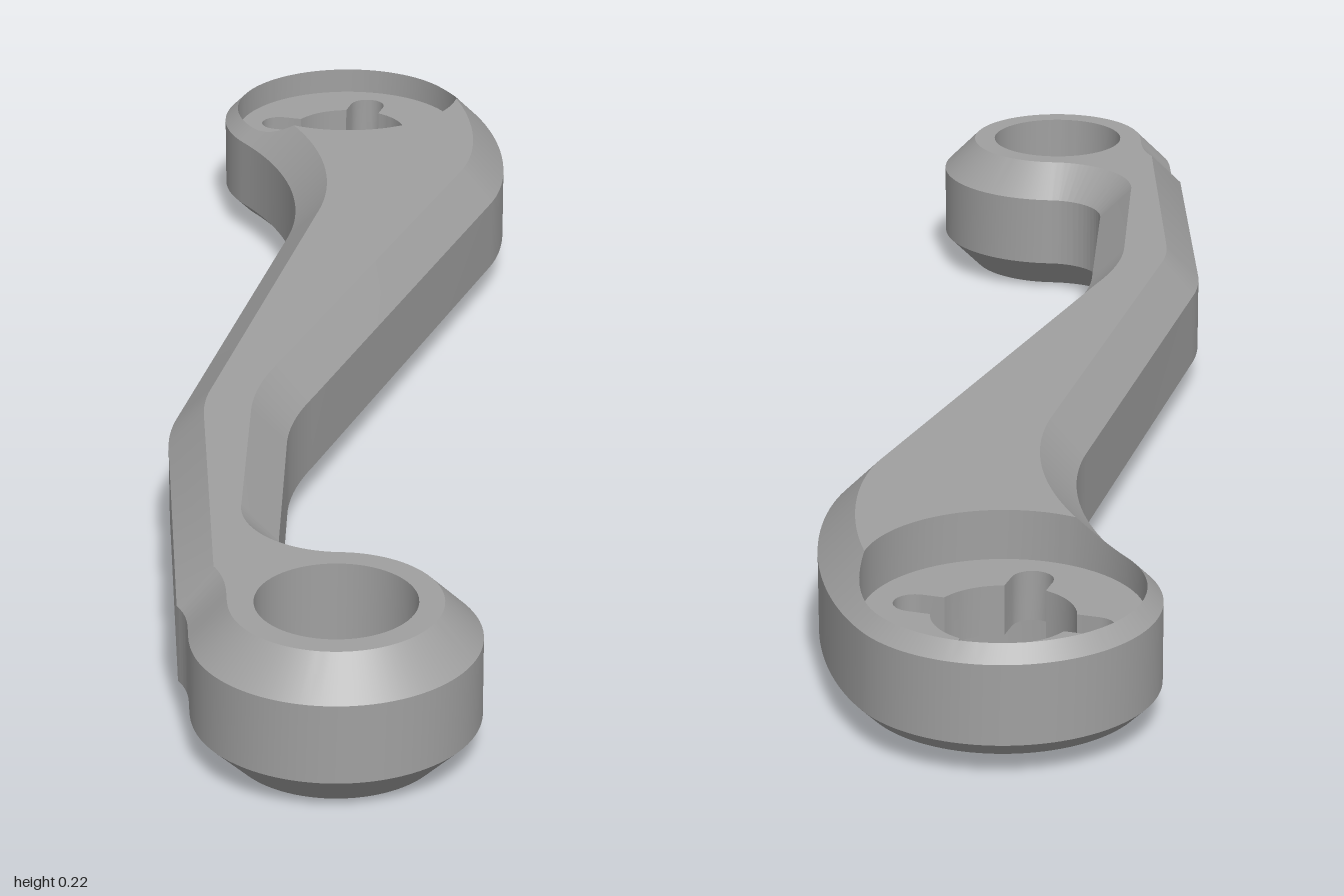
import * as THREE from 'three';
import { toCreasedNormals } from 'three/addons/utils/BufferGeometryUtils.js';

const H = 0.222, BEVEL = 0.053;             // thickness and edge bevel
const HUB = new THREE.Vector2(-0.783, -0.583), HUB_R = 0.217, POCKET_R = 0.195;
const EYE = new THREE.Vector2(0.8, 0.593), EYE_R = 0.2, BORE_R = 0.112;
const WEB_Y = 0.148;                        // floor of the upper pocket
const rad = THREE.MathUtils.degToRad;

const polar = (c, r, a) => new THREE.Vector2(c.x + r * Math.cos(a), c.y + r * Math.sin(a));
const lift = (loop, y) => loop.map((p) => new THREE.Vector3(p.x, y, p.y));
const circle = (c, r, n) => Array.from({ length: n }, (_, i) => polar(c, r, (i / n) * Math.PI * 2));

// Plan outline of the arm in (x, z)
function outline() {
  const p = new THREE.Path();
  p.absarc(HUB.x, HUB.y, HUB_R, rad(94), rad(275), false);
  p.bezierCurveTo(-0.594, -0.784, -0.392, -0.657, -0.315, -0.54);
  p.lineTo(0.15, 0.165);
  p.quadraticCurveTo(0.197, 0.242, 0.257, 0.289);
  p.lineTo(0.513, 0.485);
  p.absarc(0.57, 0.413, 0.092, rad(128), rad(38), true);
  p.absarc(EYE.x, EYE.y, EYE_R, rad(218), rad(474.5), false);
  p.bezierCurveTo(0.67, 0.754, 0.65, 0.725, 0.6, 0.719);
  p.lineTo(0.166, 0.44);
  p.quadraticCurveTo(0.12, 0.409, 0.086, 0.369);
  p.lineTo(-0.395, -0.176);
  const s = polar(HUB, HUB_R, rad(94));
  p.bezierCurveTo(-0.481, -0.273, -0.627, -0.356, s.x, s.y);
  const pts = p.getPoints(32).filter((v, i, a) => i === 0 || v.distanceTo(a[i - 1]) > 0.001);
  if (pts[pts.length - 1].distanceTo(pts[0]) < 0.001) pts.pop();
  return pts;
}

// Parameter where the segment a-b crosses the pocket circle
function crossing(a, b) {
  const inside = (t) => a.clone().lerp(b, t).distanceTo(HUB) < POCKET_R;
  const start = inside(0);
  let lo = 0, hi = 1;
  for (let i = 0; i < 30; i++) {
    const m = (lo + hi) / 2;
    if (inside(m) === start) lo = m; else hi = m;
  }
  return (lo + hi) / 2;
}

// Outline points with their bevel ends, cut short where the pocket bites in
function bevelRing() {
  const pts = outline(), n = pts.length;
  const raw = pts.map((p, i) => {
    const e1 = p.clone().sub(pts[(i + n - 1) % n]).normalize();
    const e2 = pts[(i + 1) % n].clone().sub(p).normalize();
    const t = e1.add(e2).normalize();
    const q = new THREE.Vector2(p.x - t.y * BEVEL, p.y + t.x * BEVEL);
    return { p, q, cut: q.distanceTo(HUB) < POCKET_R };
  });
  const ring = [];
  raw.forEach((r, i) => {
    const next = raw[(i + 1) % n];
    const t = r.cut ? crossing(r.p, r.q) : 1;
    ring.push({ p: r.p, q: r.p.clone().lerp(r.q, t), t, cut: r.cut });
    if (r.cut !== next.cut) {
      const s = crossing(r.q, next.q);
      ring.push({ p: r.p.clone().lerp(next.p, s), q: r.q.clone().lerp(next.q, s), t: 1, cut: false });
    }
  });
  const k = ring.findIndex((r, i) => !r.cut && ring[(i + ring.length - 1) % ring.length].cut);
  return [...ring.slice(k), ...ring.slice(0, k)];
}

// Closed band of triangles between two loops
function band(low, up) {
  const out = [];
  low.forEach((l, i) => {
    const j = (i + 1) % low.length;
    out.push(l, up[i], low[j], low[j], up[i], up[j]);
  });
  return out;
}

// Flat upward face with holes
function face(contour, holes, y) {
  const all = [contour, ...holes].flat(), out = [];
  for (const [a, b, c] of THREE.ShapeUtils.triangulateShape(contour, holes)) {
    const flip = THREE.ShapeUtils.area([all[a], all[b], all[c]]) > 0;
    out.push(...lift(flip ? [all[a], all[c], all[b]] : [all[a], all[b], all[c]], y));
  }
  return out;
}

// Central opening with four round-ended slots
function slottedHole() {
  const pts = [], r = 0.1, w = 0.03, half = Math.asin(w / r);
  for (let k = 0; k < 4; k++) {
    const a = rad(-38 + 90 * k), c = polar(HUB, 0.128, a);
    pts.push(polar(HUB, r, a - half));
    for (let i = 0; i <= 10; i++) pts.push(polar(c, w, a - Math.PI / 2 + (i / 10) * Math.PI));
    for (let i = 0; i < 10; i++) pts.push(polar(HUB, r, a + half + (i / 10) * (Math.PI / 2 - 2 * half)));
  }
  return pts;
}

export function createModel() {
  const group = new THREE.Group();
  const grey = new THREE.MeshStandardMaterial({ color: 0xa0a0a0 });
  grey.name = 'grey';

  const add = (name, tris) => {
    const geo = new THREE.BufferGeometry().setFromPoints(tris);
    const mesh = new THREE.Mesh(toCreasedNormals(geo, 0.5), grey);
    mesh.name = name;
    group.add(mesh);
  };
  // Adds a part on the upper half and its mirror on the lower half
  const addBoth = (name, tris) => {
    add('upper' + name, tris);
    const m = tris.map((v) => new THREE.Vector3(v.x, H - v.y, v.z));
    for (let i = 0; i < m.length; i += 3) [m[i + 1], m[i + 2]] = [m[i + 2], m[i + 1]];
    add('lower' + name, m);
  };

  const ring = bevelRing();
  const edge = ring.map((r) => r.p);
  const bevelTop = ring.map((r) => new THREE.Vector3(r.q.x, H - BEVEL * (1 - r.t), r.q.y));
  const open = ring.filter((r) => !r.cut).map((r) => r.q);
  const bore = circle(EYE, BORE_R, 64);
  const slots = slottedHole();

  // Side wall and bevels
  add('armSide', band(lift(edge, BEVEL), lift(edge, H - BEVEL)));
  addBoth('Bevel', band(lift(edge, H - BEVEL), bevelTop));

  // Part of the pocket rim that crosses the arm's flat face
  const angle = (v) => Math.atan2(v.y - HUB.y, v.x - HUB.x);
  const a0 = angle(open[0]);
  let a1 = angle(open[open.length - 1]);
  while (a1 < a0) a1 += Math.PI * 2;
  const arc = Array.from({ length: 31 }, (_, i) => polar(HUB, POCKET_R, a0 + ((i + 1) / 32) * (a1 - a0)));
  addBoth('Face', face([...open, ...arc.slice().reverse()], [bore], H));

  // Pocket wall and web floor
  const rim = [...bevelTop.slice(open.length - 1), bevelTop[0], ...lift(arc, H)];
  const floor = rim.map((v) => new THREE.Vector2(v.x, v.z));
  addBoth('PocketWall', band(rim, lift(floor, WEB_Y)));
  addBoth('Web', face(floor, [slots], WEB_Y));

  // Through holes
  add('slottedOpening', band(lift(slots, WEB_Y), lift(slots, H - WEB_Y)));
  add('pivotBore', band(lift(bore, H), lift(bore, 0)));
  return group;
}
